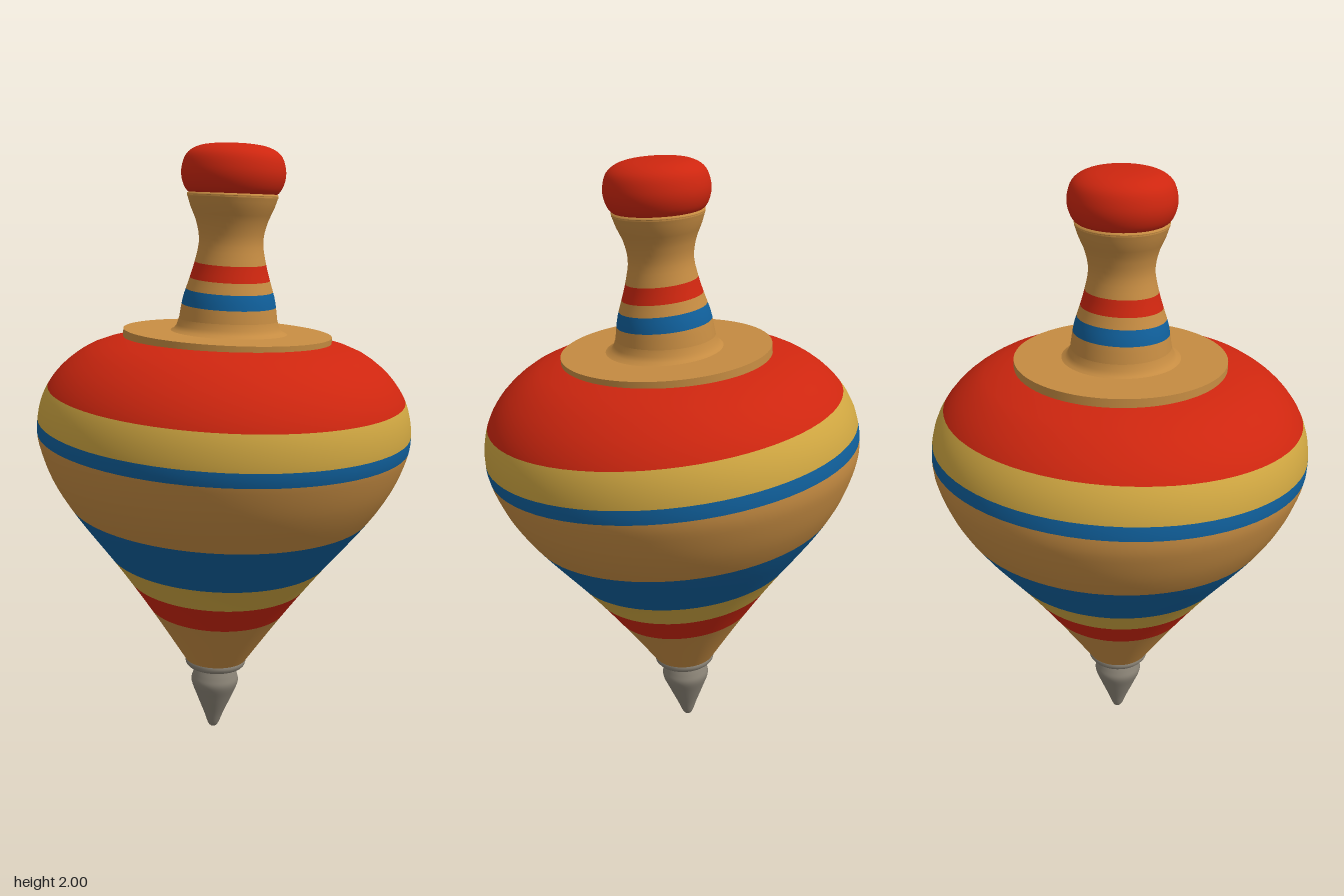
import * as THREE from 'three';

const mat = (name, color) => Object.assign(new THREE.MeshStandardMaterial({ color }), { name });
const v2 = (pts) => pts.map(([r, y]) => new THREE.Vector2(r, y));
const SEGMENTS = 72;

// Radius as a function of height, from a smooth curve through [radius, height] points
function makeProfile(points) {
  const samples = new THREE.SplineCurve(v2(points)).getPoints(240);
  return (y) => {
    let i = 1;
    while (i < samples.length - 1 && samples[i].y < y) i++;
    const a = samples[i - 1], b = samples[i];
    const t = THREE.MathUtils.clamp((y - a.y) / (b.y - a.y), 0, 1);
    return a.x + (b.x - a.x) * t;
  };
}

// One painted ring of a turned surface; its edges slope slightly across the axis
function ringGeometry(radius, y0, y1, low, high) {
  const steps = Math.max(3, Math.ceil((y1 - y0) / 0.02));
  const pts = [];
  for (let i = 0; i <= steps; i++) pts.push([1, y0 + ((y1 - y0) * i) / steps]);
  const geo = new THREE.LatheGeometry(v2(pts), SEGMENTS);
  const pos = geo.attributes.position, nor = geo.attributes.normal;
  const n = new THREE.Vector3();
  for (let i = 0; i < pos.count; i++) {
    const s = pos.getX(i), c = pos.getZ(i), h = pos.getY(i);
    // the slope fades out at both ends of the turned part
    const fade = Math.min(1, (h - low) / 0.12, (high - h) / 0.12);
    const y = h + fade * radius(h) * (0.025 * s - 0.05 * c);
    const r = radius(y);
    const yb = Math.min(y + 0.008, high), ya = Math.max(y - 0.008, low);
    const slope = (radius(yb) - radius(ya)) / (yb - ya);
    n.set(s, -slope, c).normalize();
    pos.setXYZ(i, r * s, y, r * c);
    nor.setXYZ(i, n.x, n.y, n.z);
  }
  return geo;
}

export function createModel() {
  const wood = mat('wood', 0xc68c42);
  const red = mat('red paint', 0xce260f);
  const yellow = mat('yellow paint', 0xcfa641);
  const blue = mat('blue paint', 0x10609c);
  const metal = mat('metal', 0x8a8376);

  const model = new THREE.Group();
  model.name = 'spinningTop';
  // The whole toy leans a little toward the front around its tip
  const top = new THREE.Group();
  top.name = 'leaningTop';
  top.position.z = -0.064;
  top.rotation.x = 0.057;
  model.add(top);

  const add = (name, geo, material, parent = top) => {
    const mesh = new THREE.Mesh(geo, material);
    mesh.name = name;
    parent.add(mesh);
    return mesh;
  };

  // Splits a turned part into coloured rings, from bottom to top
  const addRings = (name, points, rings) => {
    const group = new THREE.Group();
    group.name = name;
    top.add(group);
    const radius = makeProfile(points);
    const low = points[0][1], high = points[points.length - 1][1];
    let y = low;
    for (const [ring, material, end] of rings) {
      add(ring, ringGeometry(radius, y, end, low, high), material, group);
      y = end;
    }
  };

  addRings('body', [
    [0.105, 0.262], [0.232, 0.45], [0.352, 0.615], [0.49, 0.79], [0.562, 0.9],
    [0.604, 1.0], [0.618, 1.07], [0.61, 1.15], [0.582, 1.22], [0.53, 1.285],
    [0.455, 1.34], [0.37, 1.372], [0.33, 1.38],
  ], [
    ['bodyBase', wood, 0.455],
    ['lowerRedBand', red, 0.553],
    ['lowerYellowBand', yellow, 0.643],
    ['wideBlueBand', blue, 0.818],
    ['woodBand', wood, 1.057],
    ['thinBlueBand', blue, 1.103],
    ['upperYellowBand', yellow, 1.212],
    ['redShoulder', red, 1.38],
  ]);

  addRings('handle', [
    [0.168, 1.39], [0.16, 1.45], [0.15, 1.51], [0.133, 1.565], [0.117, 1.62],
    [0.104, 1.69], [0.114, 1.75], [0.135, 1.8], [0.147, 1.838],
  ], [
    ['handleFoot', wood, 1.488],
    ['handleBlueBand', blue, 1.537],
    ['handleMiddle', wood, 1.573],
    ['handleRedBand', red, 1.624],
    ['handleNeck', wood, 1.838],
  ]);

  // Flat disc on the shoulder
  const disc = add('shoulderDisc', new THREE.CylinderGeometry(0.342, 0.342, 0.03, SEGMENTS), wood);
  disc.position.y = 1.385;
  disc.rotation.x = 0.016;

  // Rounded flare where the handle meets the disc
  add('handleFillet', new THREE.LatheGeometry(
    v2([[0.196, 1.398], [0.178, 1.406], [0.168, 1.42], [0.162, 1.44]]), SEGMENTS), wood);

  // Wooden rim under the knob and the knob itself
  add('handleRim', new THREE.LatheGeometry(
    v2([[0.146, 1.832], [0.147, 1.842], [0.13, 1.848], [0, 1.848]]), SEGMENTS), wood);
  const knobCurve = new THREE.SplineCurve(v2([
    [0.11, 1.838], [0.145, 1.846], [0.164, 1.88], [0.167, 1.92], [0.152, 1.963],
    [0.115, 1.988], [0.06, 1.998], [0, 2.0],
  ]));
  const knobPoints = knobCurve.getPoints(32);
  knobPoints[32].x = 0;
  add('knob', new THREE.LatheGeometry(knobPoints, SEGMENTS), red);

  // Metal collar and spinning tip
  const collar = add('collar', new THREE.TorusGeometry(0.085, 0.02, 14, 48), metal);
  collar.rotation.x = Math.PI / 2;
  collar.position.y = 0.254;
  const tipPoints = new THREE.SplineCurve(v2([
    [0, 0.002], [0.016, 0.012], [0.035, 0.06], [0.062, 0.125], [0.081, 0.175],
    [0.076, 0.205], [0.066, 0.235], [0.066, 0.26],
  ])).getPoints(32);
  tipPoints[0].x = 0;
  add('tip', new THREE.LatheGeometry(tipPoints, 40), metal);

  return model;
}
